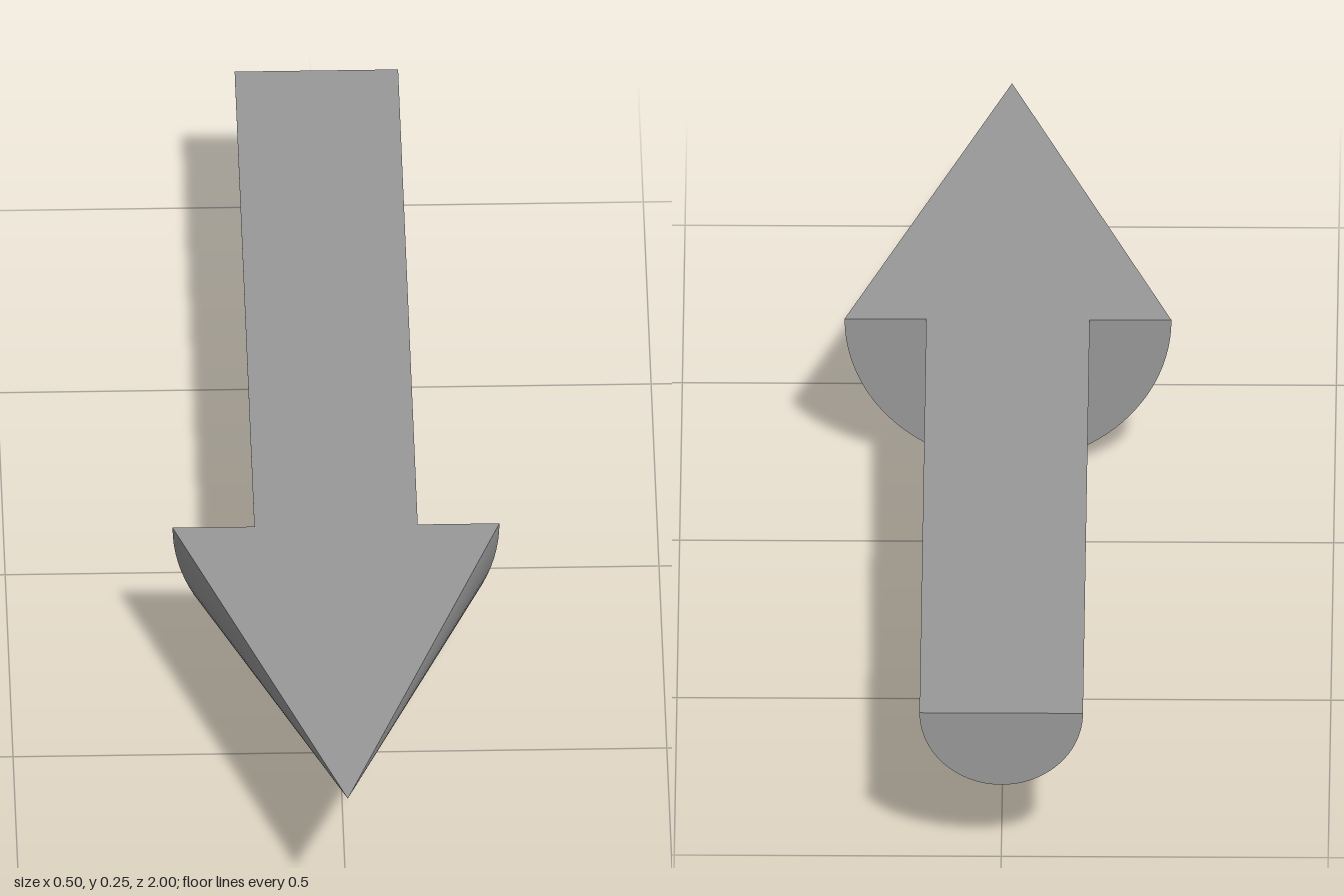
import * as THREE from 'three';

const SHAFT_R = 0.125, HEAD_R = 0.25, BACK = -1, NECK = 0.25, TIP = 1, SEG = 48;

export function createModel() {
  const model = new THREE.Group();
  model.name = 'halfRoundArrow';
  const material = new THREE.MeshStandardMaterial({ color: 0x999999 });

  const add = (name, geometry, z = 0) => {
    const mesh = new THREE.Mesh(geometry, material);
    mesh.name = name;
    mesh.position.set(0, HEAD_R, z); // the flat face lies at y = HEAD_R
    model.add(mesh);
  };

  // Lower half of a cylinder or cone wall running along z
  const halfWall = (rFront, rBack, z0, z1) =>
    new THREE.CylinderGeometry(rFront, rBack, z1 - z0, SEG, 1, true, -Math.PI / 2, Math.PI)
      .rotateX(Math.PI / 2)
      .translate(0, 0, (z0 + z1) / 2);

  add('shaft', halfWall(SHAFT_R, SHAFT_R, BACK, NECK));
  add('head', halfWall(0, HEAD_R, NECK, TIP));

  // Half-round end of the shaft and half-ring shoulder of the head, facing back
  add('shaftEnd', new THREE.CircleGeometry(SHAFT_R, SEG, Math.PI, Math.PI).rotateY(Math.PI), BACK);
  add('headShoulder', new THREE.RingGeometry(SHAFT_R, HEAD_R, SEG, 1, Math.PI, Math.PI).rotateY(Math.PI), NECK);

  // Flat arrow-shaped top face
  const outline = [
    [-SHAFT_R, BACK], [-SHAFT_R, NECK], [-HEAD_R, NECK], [0, TIP],
    [HEAD_R, NECK], [SHAFT_R, NECK], [SHAFT_R, BACK],
  ].map(([x, z]) => new THREE.Vector2(x, -z));
  add('flatTop', new THREE.ShapeGeometry(new THREE.Shape(outline)).rotateX(-Math.PI / 2));

  return model;
}
